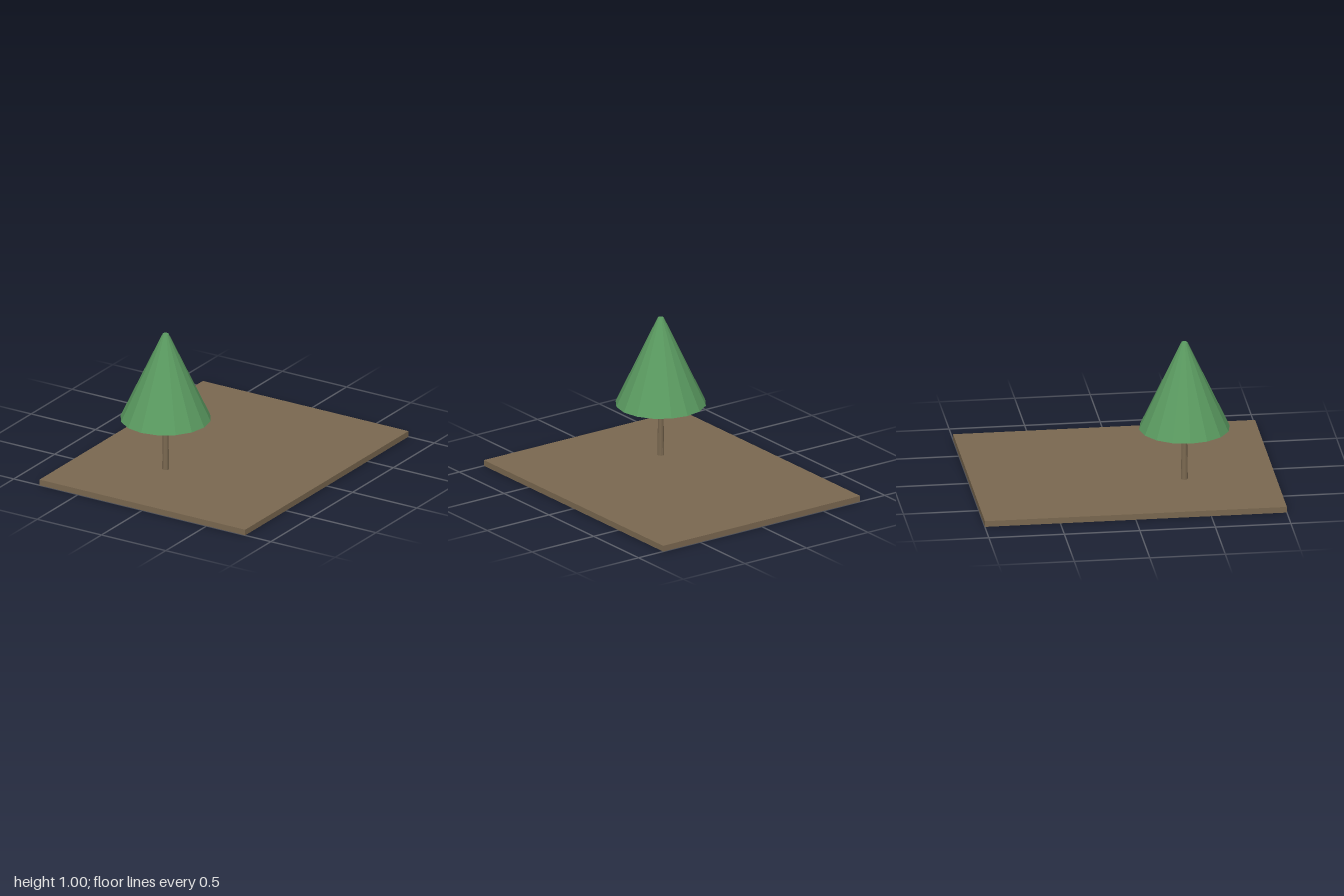
import * as THREE from 'three';

export function createModel() {
  const model = new THREE.Group();
  const brown = new THREE.MeshStandardMaterial({ color: 0x7a6850, flatShading: true });
  brown.name = 'earth brown';
  const green = new THREE.MeshStandardMaterial({ color: 0x5a9a60, flatShading: true });
  green.name = 'leaf green';

  const add = (parent, name, geometry, material, y) => {
    const mesh = new THREE.Mesh(geometry, material);
    mesh.name = name;
    mesh.position.y = y;
    parent.add(mesh);
  };

  // Ground slab
  add(model, 'groundSlab', new THREE.BoxGeometry(1.6, 0.04, 2), brown, 0.02);

  // Tree: tapered trunk under a blunt-tipped faceted crown
  const tree = new THREE.Group();
  tree.name = 'tree';
  tree.position.set(-0.2, 0.04, 0.4);
  add(tree, 'trunk', new THREE.CylinderGeometry(0.017, 0.023, 0.36, 12), brown, 0.18);
  add(tree, 'crown', new THREE.CylinderGeometry(0.02, 0.3, 0.6, 16), green, 0.66);
  model.add(tree);

  return model;
}
